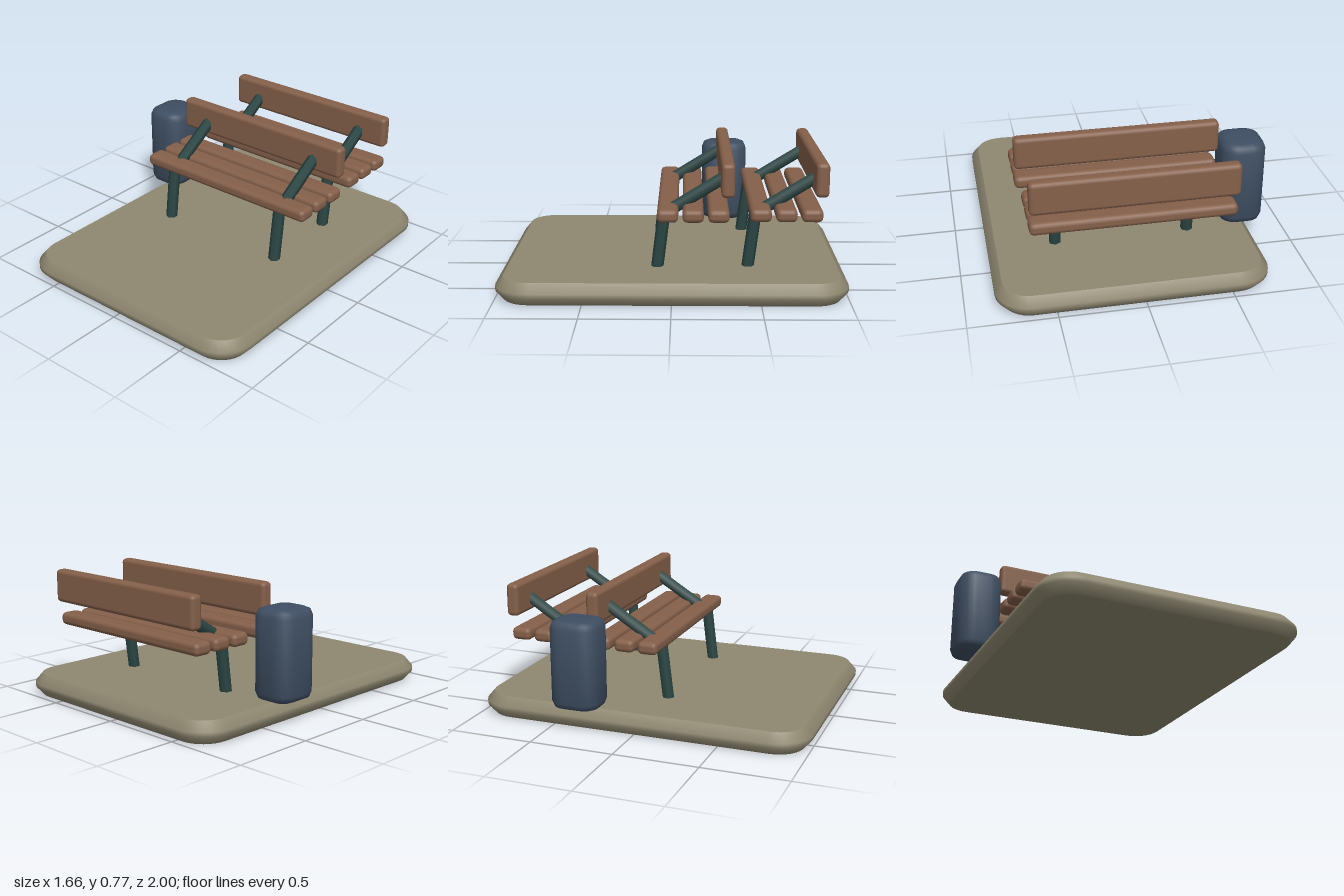
import * as THREE from 'three';
import { toCreasedNormals } from 'three/addons/utils/BufferGeometryUtils.js';
import { RoundedBoxGeometry } from 'three/addons/geometries/RoundedBoxGeometry.js';

const paint = (name, color) => {
  const m = new THREE.MeshStandardMaterial({ color });
  m.name = name;
  return m;
};

// Upright block with a rounded plan and bevelled rims, standing on y = 0
function bevelledBlock(w, h, d, radius, corner, bevelIn, bevelUp, bevelSegments, crease) {
  const s = new THREE.Shape();
  const x = w / 2, y = d / 2, r = radius, q = Math.PI / 2;
  s.moveTo(-x + r, -y);
  s.lineTo(x - r, -y);
  s.absarc(x - r, -y + r, r, -q, 0);
  s.lineTo(x, y - r);
  s.absarc(x - r, y - r, r, 0, q);
  s.lineTo(-x + r, y);
  s.absarc(-x + r, y - r, r, q, 2 * q);
  s.lineTo(-x, -y + r);
  s.absarc(-x + r, -y + r, r, 2 * q, 3 * q);
  const geo = new THREE.ExtrudeGeometry(s, {
    depth: h - 2 * bevelUp, curveSegments: corner, bevelEnabled: true,
    bevelThickness: bevelUp, bevelSize: bevelIn, bevelOffset: -bevelIn, bevelSegments,
  });
  geo.translate(0, 0, bevelUp);
  geo.rotateX(-Math.PI / 2);
  return toCreasedNormals(geo, crease);
}

export function createModel() {
  const model = new THREE.Group();
  model.name = 'parkBenches';
  const stone = paint('stone', 0x8f8871);
  const wood = paint('wood', 0x85604a);
  const iron = paint('greenIron', 0x2b4745);
  const blue = paint('binBlue', 0x3e4e62);

  const add = (parent, name, geo, mat, x, y, z) => {
    const mesh = new THREE.Mesh(geo, mat);
    mesh.name = name;
    mesh.position.set(x, y, z);
    parent.add(mesh);
    return mesh;
  };

  // Six-sided bar between two (y, z) points
  const bar = (parent, name, x, [y0, z0], [y1, z1]) => {
    const geo = new THREE.CylinderGeometry(0.036, 0.036, Math.hypot(y1 - y0, z1 - z0), 6);
    const mesh = add(parent, name, geo, iron, x, (y0 + y1) / 2, (z0 + z1) / 2);
    mesh.rotation.x = Math.atan2(z1 - z0, y1 - y0);
  };

  // Ground slab
  add(model, 'groundSlab', bevelledBlock(1.57, 0.13, 2, 0.2, 4, 0.045, 0.052, 1, 0.785),
    stone, 0.045, 0, 0);

  // Benches, the rear one slightly narrower
  const bench = (name, width, z) => {
    const g = new THREE.Group();
    g.name = name;
    g.position.set(0.0425, 0, z);
    for (const sz of [0.024, -0.12, -0.264]) {
      add(g, 'seatSlat', new RoundedBoxGeometry(width, 0.075, 0.12, 2, 0.028), wood, 0, 0.47, sz);
    }
    add(g, 'backBoard', new RoundedBoxGeometry(width, 0.195, 0.076, 2, 0.025), wood, 0, 0.673, -0.314);
    for (const side of [-1, 1]) {
      const x = side * width * 0.3405;
      bar(g, 'leg', x, [0.12, 0.087], [0.46, 0.045]);
      bar(g, 'backSupport', x, [0.457, 0.025], [0.665, -0.31]);
    }
    model.add(g);
  };
  bench('frontBench', 1.205, 0);
  bench('rearBench', 1.165, -0.525);

  // Litter bin
  add(model, 'litterBin', bevelledBlock(0.265, 0.52, 0.292, 0.095, 3, 0.045, 0.045, 2, 1.0),
    blue, -0.698, 0.135, -0.333);

  return model;
}
